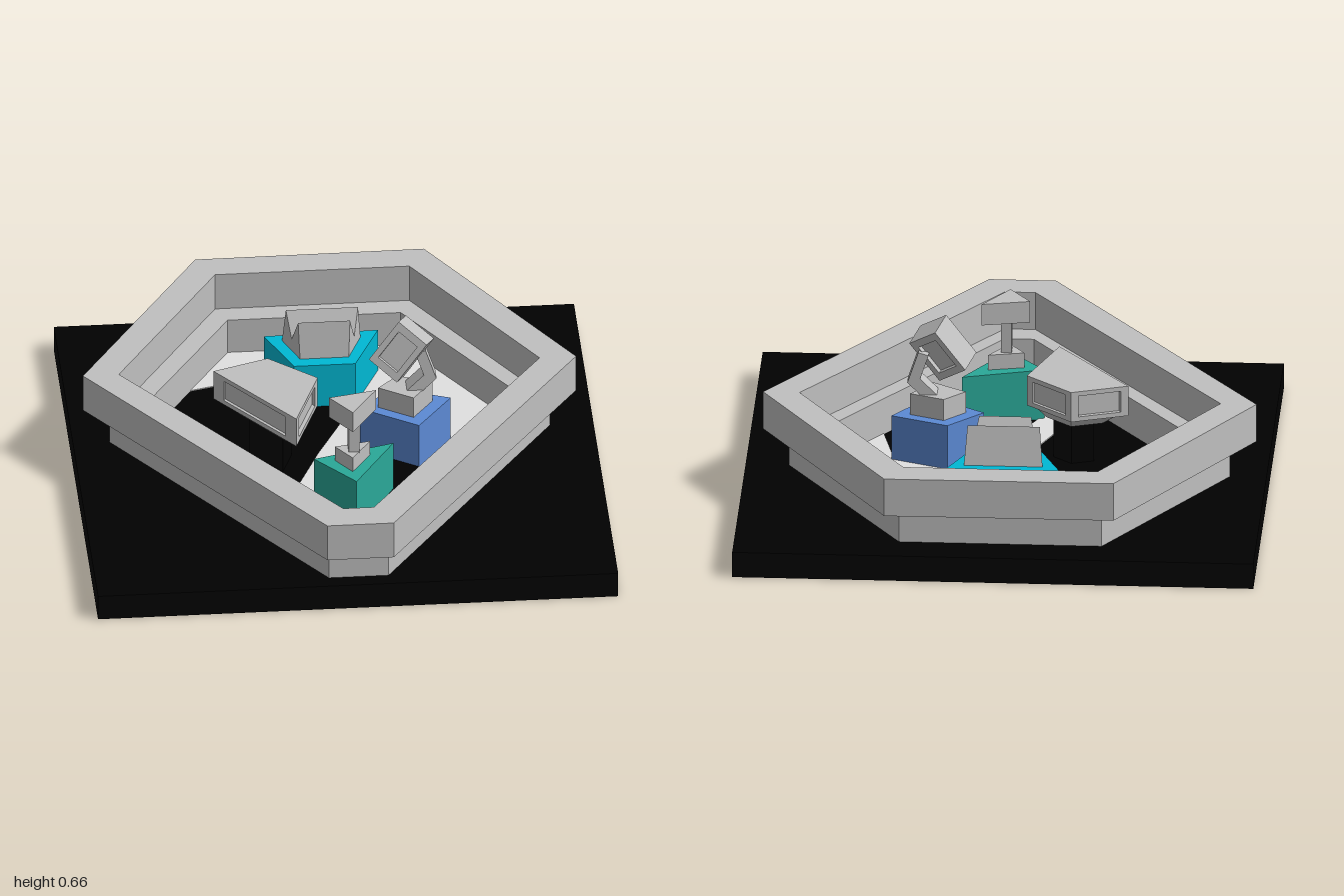
import * as THREE from 'three';

const mat = (name, color) => {
  const m = new THREE.MeshStandardMaterial({ color });
  m.name = name;
  return m;
};

export function createModel() {
  const model = new THREE.Group();
  const black = mat('black', 0x010101);
  const grey = mat('grey', 0xc0c0c0);
  const pale = mat('pale grey', 0xe0e0e0);
  const cyan = mat('cyan', 0x00b8d4);
  const blue = mat('blue', 0x5c8ad4);
  const teal = mat('teal', 0x2aa898);

  const add = (name, geo, material, parent = model) => {
    const mesh = new THREE.Mesh(geo, material);
    mesh.name = name;
    parent.add(mesh);
    return mesh;
  };
  // Counter-clockwise outline from x/z points
  const plan = (pts) => {
    const v = pts.map(([x, z]) => new THREE.Vector2(x, -z));
    return THREE.ShapeUtils.isClockWise(v) ? v.reverse() : v;
  };
  const centre = (pts) => [0, 1].map((k) => pts.reduce((s, p) => s + p[k], 0) / pts.length);
  const scaled = (pts, s) => {
    const c = centre(pts);
    return pts.map((p) => [c[0] + (p[0] - c[0]) * s, c[1] + (p[1] - c[1]) * s]);
  };
  // Upright prism over an x/z outline, with optional hole and narrower bottom
  const prism = (pts, y0, y1, hole, bottom = 1) => {
    const shape = new THREE.Shape(plan(pts));
    if (hole) shape.holes.push(new THREE.Path(plan(hole)));
    const g = new THREE.ExtrudeGeometry(shape, { depth: y1 - y0, bevelEnabled: false });
    g.rotateX(-Math.PI / 2).translate(0, y0, 0);
    if (bottom !== 1) {
      const c = centre(pts), p = g.attributes.position;
      for (let i = 0; i < p.count; i++) {
        if (p.getY(i) > (y0 + y1) / 2) continue;
        p.setX(i, c[0] + (p.getX(i) - c[0]) * bottom);
        p.setZ(i, c[1] + (p.getZ(i) - c[1]) * bottom);
      }
      g.computeVertexNormals();
    }
    return g;
  };
  // Square beam between two points
  const beam = (a, b, w, d) => {
    const A = new THREE.Vector3(...a), B = new THREE.Vector3(...b);
    const dir = B.clone().sub(A);
    const g = new THREE.BoxGeometry(w, dir.length(), d);
    g.applyQuaternion(new THREE.Quaternion().setFromUnitVectors(new THREE.Vector3(0, 1, 0), dir.normalize()));
    const m = A.add(B).multiplyScalar(0.5);
    return g.translate(m.x, m.y, m.z);
  };

  // Base plate
  add('basePlate', new THREE.BoxGeometry(1.955, 0.1, 1.95).translate(0, 0.05, -0.025), black);

  // Stepped six-sided wall
  const outer = [[-0.45, -0.955], [0.41, -0.96], [0.912, -0.14], [0.13, 1], [-0.12, 1], [-0.94, -0.155]];
  const middle = [[-0.385, -0.84], [0.345, -0.84], [0.775, -0.14], [0.065, 0.88], [-0.05, 0.88], [-0.805, -0.155]];
  const lower = [[-0.4, -0.86], [0.36, -0.86], [0.815, -0.14], [0.12, 0.89], [-0.105, 0.89], [-0.84, -0.155]];
  const inner = [[-0.345, -0.755], [0.305, -0.755], [0.695, -0.14], [0.06, 0.785], [-0.05, 0.785], [-0.72, -0.15]];
  add('upperWall', prism(outer, 0.245, 0.395, middle), grey);
  add('lowerWall', prism(lower, 0.1, 0.245, inner), grey);

  // Pale path across the floor, running just under the wall
  add('floorPath', prism([[-0.53, -0.487], [-0.22, -0.57], [0.1, -0.5], [0.1, -0.35], [-0.07, 0], [-0.28, 0.5],
    [-0.21, 0.595], [0.09, -0.02], [0.25, -0.06], [0.43, -0.04], [0.48, 0.19], [0.72, -0.14], [0.32, -0.78],
    [-0.36, -0.78]], 0.1, 0.104), pale);

  // Three-sided post with a prism head
  const tri = [[-0.06, 0.37], [0.12, 0.33], [0.02, 0.485]];
  add('tealPedestal', prism([[-0.115, 0.36], [0.19, 0.27], [0.03, 0.535]], 0.1, 0.3), teal);
  add('triangleFoot', prism(scaled(tri, 0.75), 0.3, 0.36), grey);
  add('trianglePole', new THREE.BoxGeometry(0.04, 0.14, 0.045).translate(0.03, 0.425, 0.397), grey);
  add('triangleHead', prism(tri, 0.487, 0.572), grey);

  // Blue pedestal with bent neck and tilted framed head
  const quad = [[0.09, -0.02], [0.22, -0.155], [0.435, -0.07], [0.3, 0.12]];
  add('bluePedestal', prism(quad, 0.1, 0.28), blue);
  add('neckBlock', prism(scaled(quad, 0.6), 0.28, 0.365), grey);
  add('lowerNeck', beam([0.28, 0.35, -0.03], [0.36, 0.43, -0.03], 0.045, 0.07), grey);
  add('upperNeck', beam([0.355, 0.41, -0.03], [0.315, 0.53, -0.03], 0.04, 0.07), grey);
  const head = new THREE.Group();
  head.name = 'tiltedHead';
  const rect = (w, h) => [[-w, -h], [w, -h], [w, h], [-w, h]].map(([x, y]) => new THREE.Vector2(x, y));
  const face = new THREE.Shape(rect(0.068, 0.095));
  face.holes.push(new THREE.Path(rect(0.045, 0.065)));
  add('headFrame', new THREE.ExtrudeGeometry(face, { depth: 0.11, bevelEnabled: false }).translate(0, 0, -0.055), grey, head);
  add('headScreen', new THREE.BoxGeometry(0.09, 0.13, 0.075), grey, head);
  head.position.set(0.245, 0.537, -0.015);
  head.rotation.set(-0.3, -0.35, -0.57, 'YXZ');
  model.add(head);

  // Cyan pedestal with a V-topped hopper, narrowing toward the front
  add('cyanPedestal', prism([[-0.225, -0.57], [0.205, -0.58], [0.1, -0.345], [-0.13, -0.345]], 0.1, 0.28), cyan);
  const side = new THREE.Shape([[0.535, 0.28], [0.395, 0.28], [0.41, 0.43], [0.46, 0.33], [0.505, 0.43]]
    .map(([x, y]) => new THREE.Vector2(x, y)));
  const wedge = new THREE.ExtrudeGeometry(side, { depth: 0.295, bevelEnabled: false });
  wedge.translate(0, 0, -0.1475).rotateY(Math.PI / 2);
  const wp = wedge.attributes.position;
  for (let i = 0; i < wp.count; i++) {
    const t = (0.535 + wp.getZ(i)) / 0.14;
    wp.setX(i, -0.012 + wp.getX(i) * (1 - 0.38 * t));
  }
  wedge.computeVertexNormals();
  add('hopper', wedge, grey);
  add('hopperMarker', prism([[-0.055, -0.475], [0.025, -0.475], [-0.015, -0.435]], 0.38, 0.388), grey);

  // Four-sided head with recessed sides
  const slab = [[-0.455, -0.09], [-0.245, -0.165], [-0.07, -0.01], [-0.175, 0.28]];
  add('wideHeadCore', prism(scaled(slab, 0.9), 0.315, 0.42), grey);
  add('wideHeadTop', prism(slab, 0.412, 0.43), grey);
  add('wideHeadRim', prism(slab, 0.31, 0.328), grey);
  slab.forEach((p, i) => {
    const a = slab[(i + 1) % 4], b = slab[(i + 3) % 4], c = centre(slab);
    const mix = (q, t) => [p[0] + (q[0] - p[0]) * t, p[1] + (q[1] - p[1]) * t];
    add('wideHeadCorner', prism([p, mix(a, 0.13), mix(c, 0.2), mix(b, 0.13)], 0.328, 0.412), grey);
  });
  add('wideHeadTaper', prism(scaled(slab, 0.85), 0.26, 0.31, null, 0.65), grey);
  add('wideHeadStem', prism(scaled(slab, 0.4), 0.1, 0.26), black);

  return model;
}
